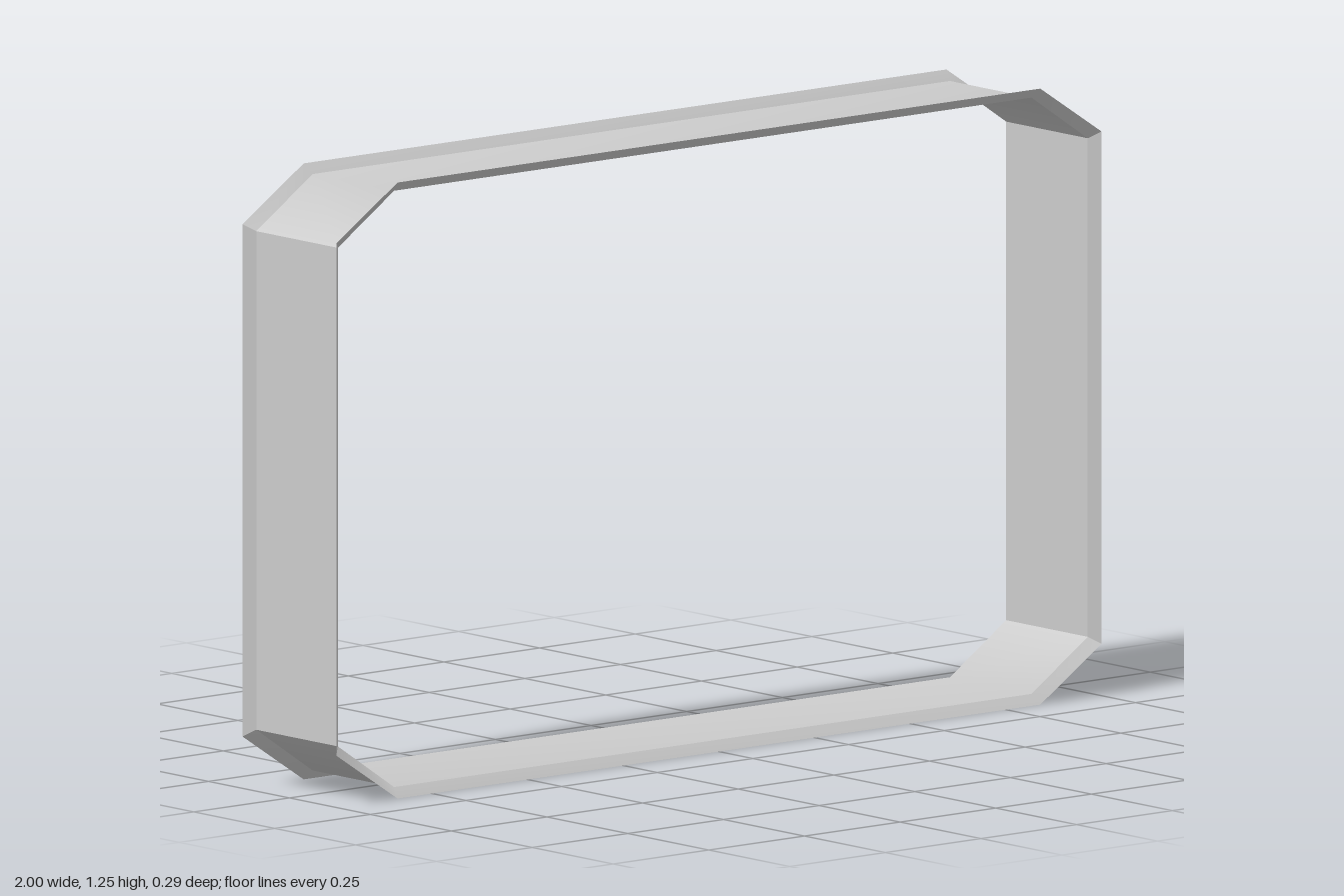
import * as THREE from 'three';

const MID_Y = 0.624;

// Octagonal outline, counterclockwise seen from the front, starting at the lower right side
const outline = (halfW, halfH, cornerX, cornerY) => [
  [halfW, -cornerY], [halfW, cornerY], [cornerX, halfH], [-cornerX, halfH],
  [-halfW, cornerY], [-halfW, -cornerY], [-cornerX, -halfH], [cornerX, -halfH],
];
const WALL = outline(0.98, 0.604, 0.833, 0.505);
const RIM = outline(1, 0.624, 0.84, 0.519);

// Stretches of the outline that share smooth normals; edges between them stay sharp
const STRETCHES = { right: [0, 1], top: [1, 2, 3, 4], left: [4, 5], bottom: [5, 6, 7, 0] };

// Open strip between a front and a back outline
function strip(front, frontZ, back, backZ, columns) {
  const position = [], index = [];
  columns.forEach((c, i) => {
    position.push(front[c][0], front[c][1] + MID_Y, frontZ);
    position.push(back[c][0], back[c][1] + MID_Y, backZ);
    if (i > 0) {
      const a = 2 * i - 2;
      index.push(a, a + 1, a + 2, a + 2, a + 1, a + 3);
    }
  });
  const geometry = new THREE.BufferGeometry();
  geometry.setAttribute('position', new THREE.Float32BufferAttribute(position, 3));
  geometry.setIndex(index);
  geometry.computeVertexNormals();
  return geometry;
}

export function createModel() {
  const model = new THREE.Group();
  model.name = 'frame';
  const material = new THREE.MeshStandardMaterial({ color: 0xcccccc, side: THREE.DoubleSide });

  // Straight band with a flared lip at the front and at the back
  const bands = [
    ['frontLip', RIM, 0.145, WALL, 0.126],
    ['wall', WALL, 0.126, WALL, -0.126],
    ['backLip', WALL, -0.126, RIM, -0.145],
  ];
  for (const [name, front, frontZ, back, backZ] of bands) {
    const band = new THREE.Group();
    band.name = name;
    for (const [side, columns] of Object.entries(STRETCHES)) {
      const mesh = new THREE.Mesh(strip(front, frontZ, back, backZ, columns), material);
      mesh.name = `${name} ${side}`;
      band.add(mesh);
    }
    model.add(band);
  }
  return model;
}
